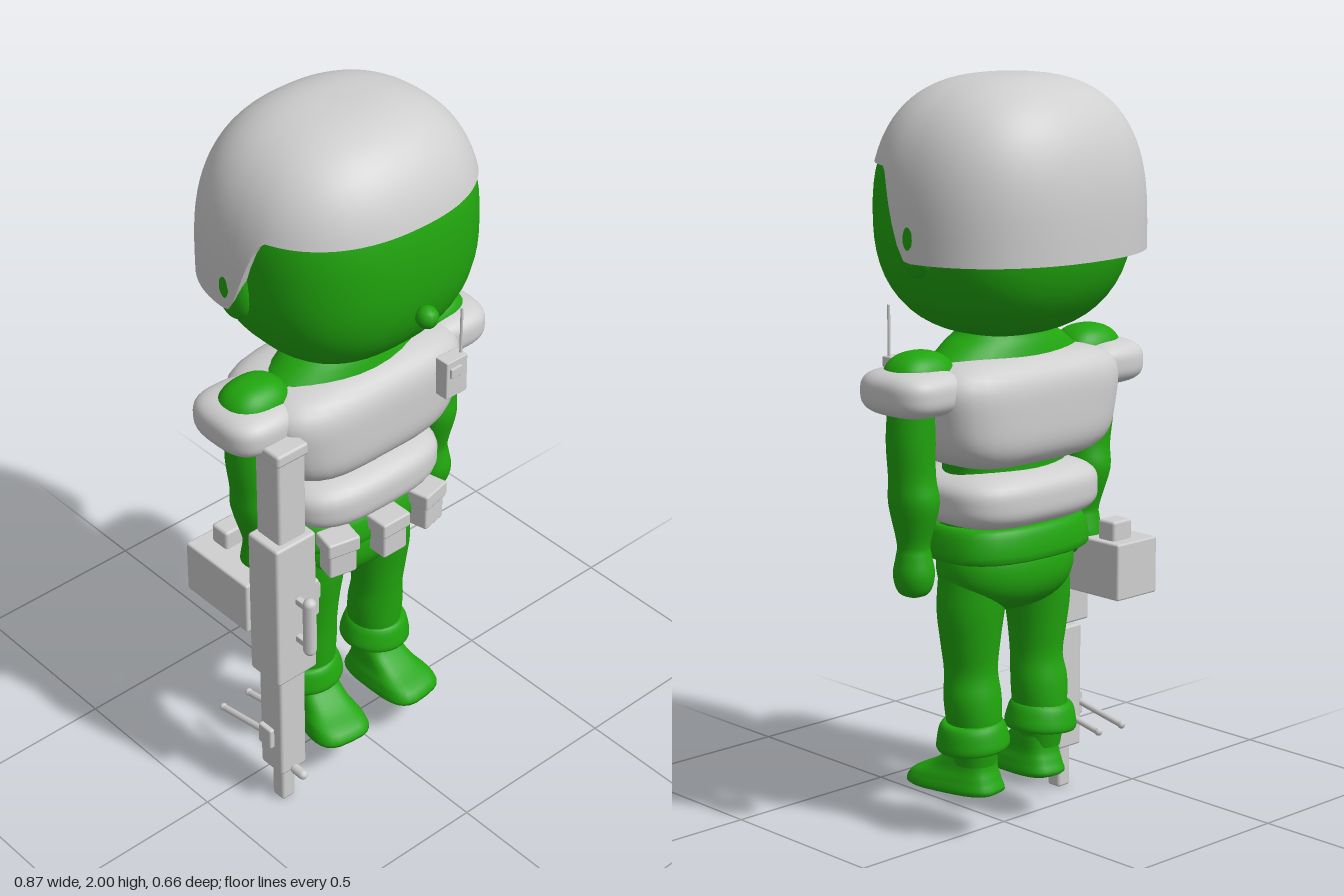
import * as THREE from 'three';
import { mergeVertices } from 'three/addons/utils/BufferGeometryUtils.js';
import { RoundedBoxGeometry } from 'three/addons/geometries/RoundedBoxGeometry.js';

export function createModel() {
  const model = new THREE.Group();
  model.name = 'toySoldier';
  const green = new THREE.MeshStandardMaterial({ color: 0x21a60e });
  green.name = 'green';
  const grey = new THREE.MeshStandardMaterial({ color: 0xcfcfcf });
  grey.name = 'light grey';

  const add = (name, geo, mat, pos = [0, 0, 0], parent = model) => {
    const m = new THREE.Mesh(geo, mat);
    m.name = name;
    m.position.set(...pos);
    parent.add(m);
    return m;
  };

  // Skin over closed rows of points, listed from bottom to top
  function skin(rows) {
    const n = rows[0].length, index = [];
    for (let i = 0; i < rows.length - 1; i++) {
      for (let j = 0; j < n; j++) {
        const a = i * n + j, b = i * n + (j + 1) % n;
        index.push(a, a + n, b, b, a + n, b + n);
      }
    }
    const g = new THREE.BufferGeometry();
    g.setAttribute('position', new THREE.Float32BufferAttribute(rows.flat(2), 3));
    g.setIndex(index);
    g.computeVertexNormals();
    return g;
  }
  const pow = (v, e) => Math.sign(v) * Math.abs(v) ** e;

  // Smooth loft through sections [y, centreX, centreZ, radiusX, radiusZ]
  function loft(sections, n = 2, sides = 28) {
    const curve = f => new THREE.CatmullRomCurve3(sections.map(f), false, 'catmullrom', 0.5);
    const mid = curve(s => new THREE.Vector3(s[1], s[0], s[2]));
    const rad = curve(s => new THREE.Vector3(s[3], s[4], 0));
    const rows = [], steps = (sections.length - 1) * 4;
    for (let i = 0; i <= steps; i++) {
      const c = mid.getPoint(i / steps), r = rad.getPoint(i / steps), row = [];
      for (let j = 0; j < sides; j++) {
        const a = j / sides * Math.PI * 2;
        row.push([c.x + r.x * pow(Math.cos(a), 2 / n), c.y, c.z + r.y * pow(Math.sin(a), 2 / n)]);
      }
      rows.push(row);
    }
    return skin(rows);
  }

  // Rounded block: a sphere pushed out to a superellipsoid, wider on top by taper
  function blob(rx, ry, rz, n = 2, taper = 0) {
    let g = new THREE.SphereGeometry(1, 48, 32);
    g.deleteAttribute('uv');
    g.deleteAttribute('normal');
    g = mergeVertices(g);
    const p = g.attributes.position;
    for (let i = 0; i < p.count; i++) {
      const v = [p.getX(i), p.getY(i), p.getZ(i)];
      const k = v.reduce((s, c) => s + Math.abs(c) ** n, 0) ** (-1 / n);
      p.setXYZ(i, v[0] * k * rx * (1 + taper * v[1] * k), v[1] * k * ry, v[2] * k * rz);
    }
    g.computeVertexNormals();
    return g;
  }

  // Head
  add('head', blob(0.335, 0.325, 0.288, 2.45), green, [0, 1.655, 0]);
  add('nose', new THREE.SphereGeometry(0.03, 10, 8), green, [0, 1.53, 0.302]);
  for (const s of [1, -1]) add('ear', blob(0.035, 0.1, 0.06), green, [s * 0.328, 1.61, -0.03]);

  // Helmet: domed shell with a rim that is high in front and low behind
  const helmetRows = Array.from({ length: 27 }, () => []);
  for (let j = 0; j < 120; j++) {
    const a = j / 120 * Math.PI * 2, n = 2.7;
    const cx = 0.362 * pow(Math.cos(a), 2 / 2.3), cz = 0.314 * pow(Math.sin(a), 2 / 2.3);
    const rim = 1.55 + 0.23 * THREE.MathUtils.smoothstep(cz, -0.01, 0.115);
    const start = Math.asin(pow((rim - 1.6) / 0.4, n / 2));
    const at = (phi, k = 1) => {
      const r = Math.abs(Math.cos(phi)) ** (2 / n) * k;
      return [cx * r, 1.6 + 0.4 * pow(Math.sin(phi), 2 / n), cz * r - 0.018];
    };
    helmetRows[0].push(at(start, 0.9));
    helmetRows[1].push(at(start));
    for (let i = 0; i < 25; i++) {
      helmetRows[i + 2].push(at(start + (Math.PI / 2 - start) * i / 24));
    }
  }
  add('helmet', skin(helmetRows), grey);

  // Torso
  add('torso', loft([
    [0.76, 0, 0, 0.2, 0.13], [0.88, 0, 0, 0.2, 0.14], [1.0, 0, 0, 0.19, 0.12], [1.12, 0, 0, 0.23, 0.14],
    [1.24, 0, 0, 0.27, 0.13], [1.31, 0, 0, 0.2, 0.115], [1.35, 0, 0, 0.14, 0.1], [1.4, 0, 0, 0.12, 0.1],
  ]), green);
  add('chestPlate', blob(0.302, 0.147, 0.187, 3.8, 0.1), grey, [0, 1.148, -0.004]);
  add('stomachPlate', blob(0.245, 0.08, 0.183, 3.2), grey, [0, 0.92, -0.002]);
  add('pelvis', blob(0.2, 0.125, 0.145, 2.2), green, [0, 0.728, -0.005]);
  add('belt', loft([
    [0.768, 0, -0.01, 0.19, 0.12], [0.768, 0, -0.01, 0.232, 0.16],
    [0.845, 0, -0.01, 0.215, 0.15], [0.85, 0, -0.01, 0.17, 0.11],
  ], 2.6), green);

  // Belt pouches
  for (const s of [-1, 0, 1]) {
    const pouch = new THREE.Group();
    pouch.name = 'pouch';
    pouch.position.set(s * 0.155, 0.785, s ? 0.15 : 0.172);
    pouch.rotation.y = s * 0.22;
    model.add(pouch);
    add('pouchBody', new RoundedBoxGeometry(0.08, 0.11, 0.06, 1, 0.006), grey, [0, 0, 0], pouch);
    add('pouchFlap', new RoundedBoxGeometry(0.094, 0.045, 0.074, 1, 0.006), grey, [0, 0.038, 0], pouch);
  }

  // Limbs, drawn for the left and mirrored
  for (const s of [1, -1]) {
    const side = new THREE.Group();
    side.name = s > 0 ? 'leftLimbs' : 'rightLimbs';
    side.scale.x = s;
    model.add(side);

    add('shoulder', blob(0.098, 0.085, 0.08, 2.4), green, [0.3, 1.237, -0.003], side);
    add('shoulderPad', blob(0.107, 0.061, 0.124, 3), grey, [0.328, 1.222, -0.007], side);
    const arm = add('arm', loft([
      [0.685, 0.318, 0, 0.01, 0.01], [0.7, 0.318, 0, 0.04, 0.042], [0.745, 0.318, 0, 0.053, 0.055],
      [0.795, 0.318, 0, 0.046, 0.046], [0.83, 0.318, 0, 0.043, 0.044], [0.93, 0.318, -0.002, 0.062, 0.07],
      [1.0, 0.322, 0, 0.06, 0.062], [1.1, 0.325, 0, 0.062, 0.066], [1.22, 0.31, 0, 0.065, 0.07],
    ]), green, [0, 0, 0], side);
    if (s < 0) {
      arm.rotation.z = -0.06;
      arm.position.set(-0.071, 0.021, 0);
    }

    add('leg', loft([
      [0.2, 0.12, -0.01, 0.055, 0.06], [0.3, 0.12, -0.012, 0.07, 0.075], [0.38, 0.122, -0.008, 0.077, 0.076],
      [0.45, 0.12, 0, 0.07, 0.072], [0.53, 0.122, 0, 0.078, 0.08], [0.62, 0.12, 0, 0.088, 0.092],
      [0.72, 0.105, 0, 0.09, 0.1],
    ]), green, [0, 0, 0], side);
    const cuff = add('bootCuff', loft([
      [-0.036, 0, 0, 0.05, 0.05], [-0.036, 0, 0, 0.095, 0.094], [0.0, 0, 0, 0.094, 0.093],
      [0.034, 0, 0, 0.08, 0.08], [0.036, 0, 0, 0.05, 0.05],
    ]), green, [0.126, 0.282, -0.012], side);
    cuff.rotation.z = -0.08;

    // Foot: flat square-toed sole, narrower at the heel
    const foot = loft([
      [0, 0, 0.05, 0.001, 0.001], [0, 0, 0.05, 0.076, 0.128], [0.035, 0, 0.05, 0.076, 0.126],
      [0.065, 0, 0.025, 0.066, 0.09], [0.105, 0, 0, 0.06, 0.062], [0.14, 0, -0.01, 0.05, 0.055],
    ], 3.2);
    const p = foot.attributes.position;
    for (let i = 0; i < p.count; i++) p.setX(i, p.getX(i) * (0.92 + 1.4 * p.getZ(i)));
    foot.computeVertexNormals();
    add('foot', foot, green, [0.115, 0.122, 0], side).rotation.y = 0.12;
  }

  // Chest radio with antenna
  const box = (name, x, y, z, r = 0.008) => add(name,
    new RoundedBoxGeometry(x[1] - x[0], y[1] - y[0], z[1] - z[0], 1, r), grey,
    [x, y, z].map(v => (v[0] + v[1]) / 2));
  box('radio', [0.155, 0.227], [1.158, 1.27], [0.175, 0.218], 0.003);
  box('radioPanel', [0.165, 0.203], [1.222, 1.25], [0.21, 0.225], 0.002);
  add('antenna', new THREE.CylinderGeometry(0.004, 0.004, 0.14, 6), grey, [0.219, 1.335, 0.2]);

  // Rifle, held muzzle down at the right side
  box('rifleBody', [-0.39, -0.257], [0.475, 0.927], [0.068, 0.182]);
  box('rifleStock', [-0.365, -0.275], [0.92, 1.19], [0.075, 0.165]);
  box('stockCap', [-0.37, -0.268], [1.174, 1.21], [0.07, 0.17]);
  box('barrelShroud', [-0.362, -0.275], [0.12, 0.468], [0.068, 0.155]);
  box('muzzle', [-0.342, -0.297], [0, 0.14], [0.089, 0.134]);
  box('magazine', [-0.4, -0.25], [0.597, 0.752], [-0.175, 0.07], 0.006);
  box('magazineLatch', [-0.34, -0.27], [0.745, 0.805], [-0.14, -0.08]);
  box('sideBlock', [-0.265, -0.222], [0.615, 0.735], [0.085, 0.155]);
  box('sideKnob', [-0.23, -0.203], [0.65, 0.705], [0.1, 0.14]);
  add('handle', new THREE.CapsuleGeometry(0.018, 0.15, 4, 10), grey, [-0.32, 0.673, 0.226]);
  for (const y of [0.61, 0.735]) box('handleMount', [-0.329, -0.311], [y - 0.01, y + 0.01], [0.175, 0.225], 0.003);
  add('frontSight', new THREE.CapsuleGeometry(0.014, 0.03, 4, 10), grey, [-0.319, 0.125, 0.175]).rotation.x = Math.PI / 2;

  // Folded bipod legs
  for (const s of [-1, 1]) {
    const x = -0.319 + s * 0.045;
    box('bipodHinge', [x - 0.012, x + 0.012], [0.205, 0.27], [0.075, 0.125], 0.005);
    const path = new THREE.LineCurve3(new THREE.Vector3(x, 0.245, 0.1), new THREE.Vector3(x, 0.21, -0.085));
    add('bipodLeg', new THREE.TubeGeometry(path, 1, 0.009, 8), grey);
    add('bipodFoot', new THREE.SphereGeometry(0.011, 8, 6), grey, [x, 0.21, -0.085]);
  }
  return model;
}
